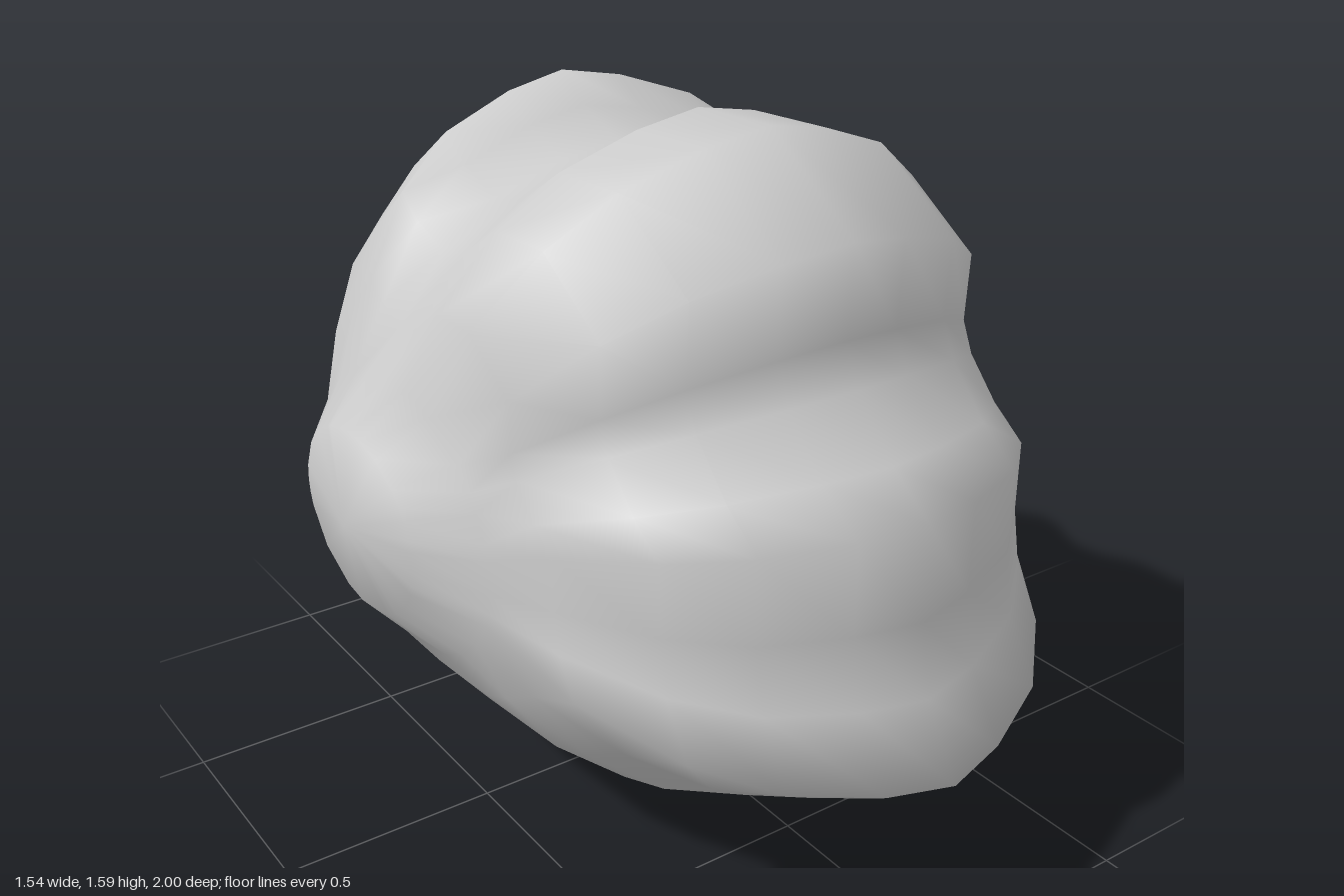
import * as THREE from 'three';
import { mergeVertices } from 'three/addons/utils/BufferGeometryUtils.js';

// Centre-line outline as [z, y]: chin, face, brow, crown groove, back, underside
const PROFILE = [
  [1, 0.41], [0.91, 0.56], [0.88, 0.72], [0.88, 0.93], [0.77, 1.01], [0.66, 1.13],
  [0.62, 1.22], [0.63, 1.42], [0.37, 1.59], [0.13, 1.58], [-0.04, 1.475], [-0.17, 1.45],
  [-0.31, 1.5], [-0.4, 1.565], [-0.62, 1.47], [-0.84, 1.28], [-0.97, 0.97], [-1, 0.79],
  [-0.985, 0.64], [-0.955, 0.49], [-0.48, 0.335], [-0.22, 0.12], [-0.03, 0],
  [0.39, 0.05], [0.57, 0.12], [0.77, 0.24],
];
const MID_Y = 0.8;

// Outline shrunk towards the middle; the back and underside come to a sharper ridge
function shellRing(x, scale, ridgeScale = scale) {
  return PROFILE.map(([z, y], k) => {
    const s = k >= 14 ? ridgeScale : scale;
    return [x, MID_Y + (y - MID_Y) * s, z * s];
  });
}

// Oval ring of the side bump, each point at the angle of its outline point
function earRing(x, cy, cz, ry, rz) {
  return PROFILE.map(([z, y]) => {
    const a = Math.atan2(y - MID_Y, z);
    return [x, cy + Math.sin(a) * ry, cz + Math.cos(a) * rz];
  });
}

export function createModel() {
  // Cross-sections from the middle out to the left side
  const half = [
    shellRing(0, 1),
    shellRing(0.15, 0.965, 0.93),
    shellRing(0.33, 0.885, 0.84),
    shellRing(0.47, 0.755, 0.7),
    shellRing(0.595, 0.555, 0.51),
    earRing(0.617, 0.73, -0.11, 0.31, 0.39),
    earRing(0.732, 0.755, -0.08, 0.2, 0.25),
    earRing(0.77, 0.755, -0.07, 0, 0),
  ];
  const mirrored = half.slice(1).reverse().map(r => r.map(([x, y, z]) => [-x, y, z]));
  const rings = [...mirrored, ...half];

  // Skin the rings
  const n = PROFILE.length;
  const index = [];
  for (let i = 0; i < rings.length - 1; i++) {
    for (let k = 0; k < n; k++) {
      const k1 = (k + 1) % n;
      const a = i * n + k, b = a + n, c = i * n + k1, d = c + n;
      if (i < rings.length - 2) index.push(a, b, c, c, b, d);
      else index.push(a, b, c);
    }
  }
  let geometry = new THREE.BufferGeometry();
  geometry.setAttribute('position', new THREE.Float32BufferAttribute(rings.flat(2), 3));
  geometry.setIndex(index);
  geometry = mergeVertices(geometry, 1e-4);
  geometry.computeVertexNormals();

  const head = new THREE.Mesh(geometry, new THREE.MeshStandardMaterial({ color: 0xcccccc }));
  head.name = 'headShell';
  const group = new THREE.Group();
  group.name = 'head';
  group.add(head);
  return group;
}
